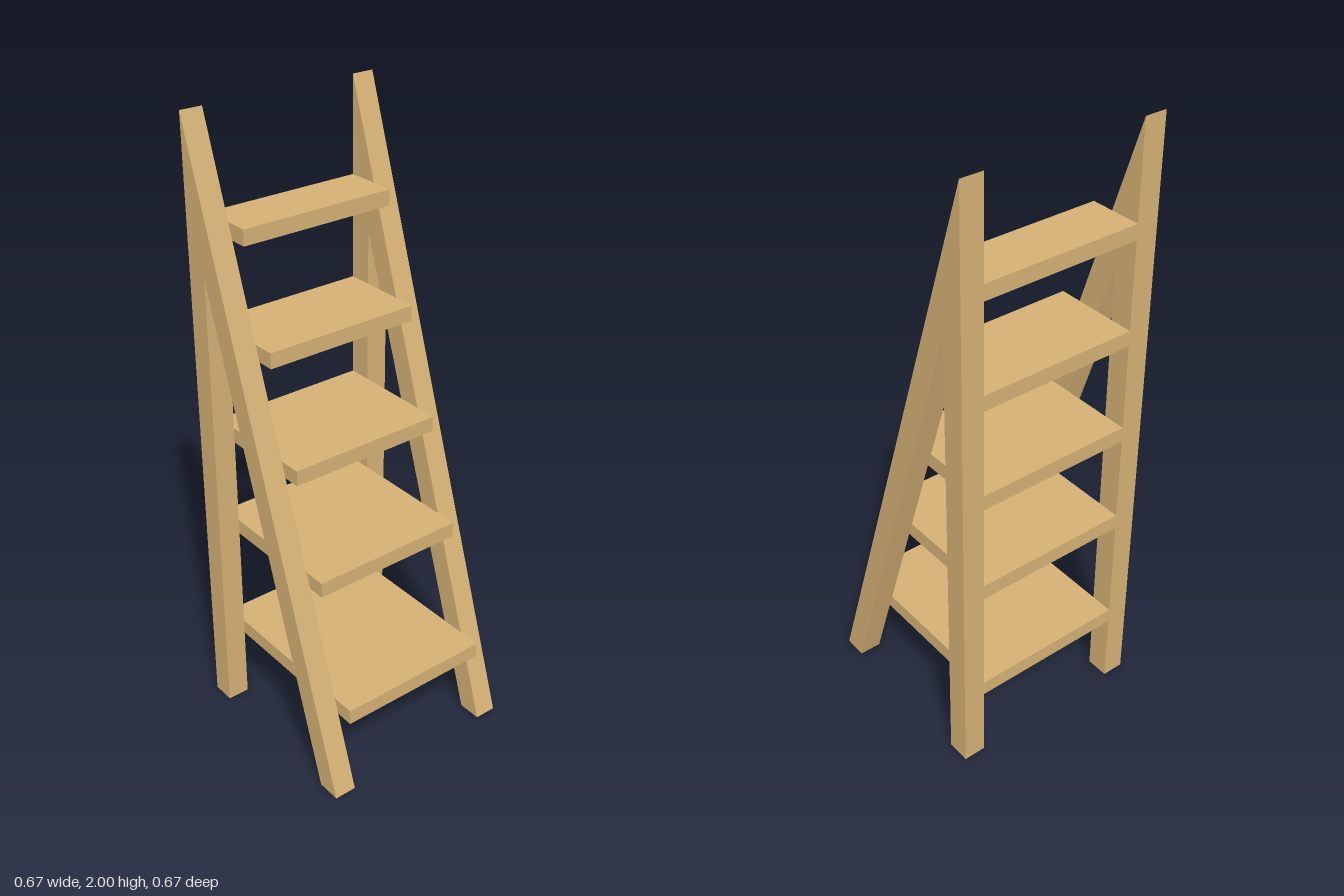
import * as THREE from 'three';

export function createModel() {
  const wood = new THREE.MeshStandardMaterial({ color: 0xd4b074 });
  wood.name = 'light wood';
  const model = new THREE.Group();
  model.name = 'ladderShelf';

  const back = -0.333, legWidth = 0.073, inner = 0.26;

  // Side frame: sloping front leg and upright back post, joined at the top.
  // Profile is drawn as (-z, y), then turned so it extrudes along x.
  const profile = [
    [0.333, 0], [back, 2], [back, 0], [-0.257, 0], [-0.257, 1.536], [0.255, 0],
  ].map(([z, y]) => new THREE.Vector2(-z, y));
  const frameGeometry = new THREE.ExtrudeGeometry(new THREE.Shape(profile), {
    depth: legWidth, bevelEnabled: false,
  });
  frameGeometry.rotateY(Math.PI / 2);

  for (const [name, x] of [['leftFrame', inner], ['rightFrame', -inner - legWidth]]) {
    const frame = new THREE.Mesh(frameGeometry, wood);
    frame.name = name;
    frame.position.x = x;
    model.add(frame);
  }

  // Shelves: [bottom height, front edge z], all flush with the back posts
  const shelves = [[0.247, 0.31], [0.645, 0.175], [0.979, 0.064], [1.313, -0.048], [1.647, -0.159]];
  const thickness = 0.05;
  shelves.forEach(([y, front], i) => {
    const shelf = new THREE.Mesh(new THREE.BoxGeometry(inner * 2, thickness, front - back), wood);
    shelf.name = `shelf${i + 1}`;
    shelf.position.set(0, y + thickness / 2, (front + back) / 2);
    model.add(shelf);
  });

  return model;
}
